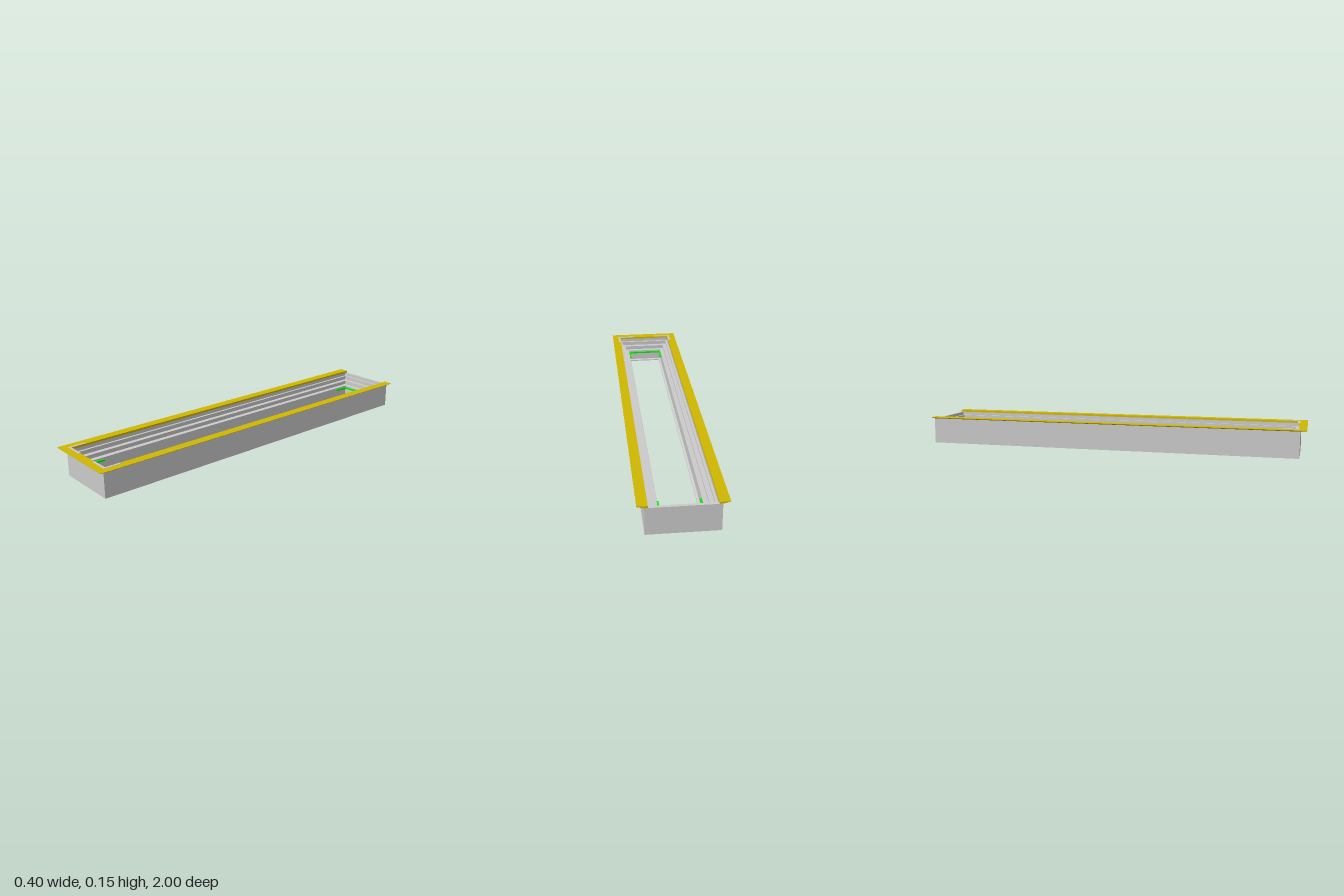
import * as THREE from 'three';

const grey = new THREE.MeshStandardMaterial({ color: 0xcccccc, side: THREE.DoubleSide });
const yellow = new THREE.MeshStandardMaterial({ color: 0xd0b800, side: THREE.DoubleSide });
const green = new THREE.MeshStandardMaterial({ color: 0x00f000 });

// Outer faces of the tray
const HALF_W = 0.167, FRONT = 0.967, BACK = -1;

// Sweeps a profile of [inset, y] points round the tray with mitred corners.
// A closed sweep makes a ring; an open one makes a U that ends flat at the back.
function sweep(profile, closed) {
  const section = (sx, atFront) => profile.map(([d, y]) => new THREE.Vector3(
    sx * (HALF_W - d), y, atFront ? FRONT - d : closed ? BACK + d : BACK));
  const sections = [section(-1, false), section(-1, true), section(1, true), section(1, false)];
  const n = profile.length, pos = [];
  const tri = (...pts) => pts.forEach(p => pos.push(p.x, p.y, p.z));
  for (let i = 0; i < (closed ? 4 : 3); i++) {
    const a = sections[i], b = sections[(i + 1) % 4];
    for (let j = 0; j < n; j++) {
      const k = (j + 1) % n;
      tri(a[j], b[j], b[k]);
      tri(a[j], b[k], a[k]);
    }
  }
  if (!closed) {
    for (let j = 1; j < n - 1; j++) {
      tri(sections[0][0], sections[0][j], sections[0][j + 1]);
      tri(sections[3][0], sections[3][j + 1], sections[3][j]);
    }
  }
  const geometry = new THREE.BufferGeometry();
  geometry.setAttribute('position', new THREE.Float32BufferAttribute(pos, 3));
  geometry.computeVertexNormals();
  return geometry;
}

export function createModel() {
  const model = new THREE.Group();
  model.name = 'recessedFrame';

  const add = (name, geometry, material, x = 0, y = 0, z = 0) => {
    const mesh = new THREE.Mesh(geometry, material);
    mesh.name = name;
    mesh.position.set(x, y, z);
    model.add(mesh);
  };

  // Tray: plain outside, stepped and grooved inside, with a lip round the opening
  add('trayFrame', sweep([
    [0, 0], [0, 0.135],
    [0.015, 0.135], [0.015, 0.118],
    [0.027, 0.118], [0.027, 0.108], [0.022, 0.108], [0.022, 0.095],
    [0.046, 0.095], [0.046, 0.085], [0.040, 0.085], [0.040, 0.072],
    [0.066, 0.072], [0.066, 0.014],
    [0.077, 0.010], [0.077, 0.004], [0.062, 0.004], [0.062, 0],
  ], true), grey);

  // Flange: wedge-edged rim on three sides, open at the back
  add('flange', sweep([
    [0, 0.135], [-0.033, 0.143], [-0.033, 0.145], [0.015, 0.145], [0.015, 0.135],
  ], false), yellow);

  // Green seals on the inner wall: across each end, returning along the sides
  const wallX = HALF_W - 0.066, y = 0.06, t = 0.009, h = 0.008;
  for (const [end, dir] of [[FRONT - 0.066, 1], [BACK + 0.066, -1]]) {
    add('endSeal', new THREE.BoxGeometry(2 * wallX, h, t), green, 0, y, end - dir * t / 2);
    for (const side of [-1, 1]) {
      add('sideSeal', new THREE.BoxGeometry(t, h, 0.09), green,
        side * (wallX - t / 2), y, end - dir * 0.045);
    }
  }

  // L-shaped corner plates laid on the front of the flange
  for (const side of [-1, 1]) {
    add('cornerPlateLong', new THREE.BoxGeometry(0.012, 0.002, 0.09), grey,
      side * 0.159, 0.145, 0.917);
    add('cornerPlateShort', new THREE.BoxGeometry(0.09, 0.002, 0.012), grey,
      side * 0.108, 0.145, 0.956);
  }

  return model;
}
